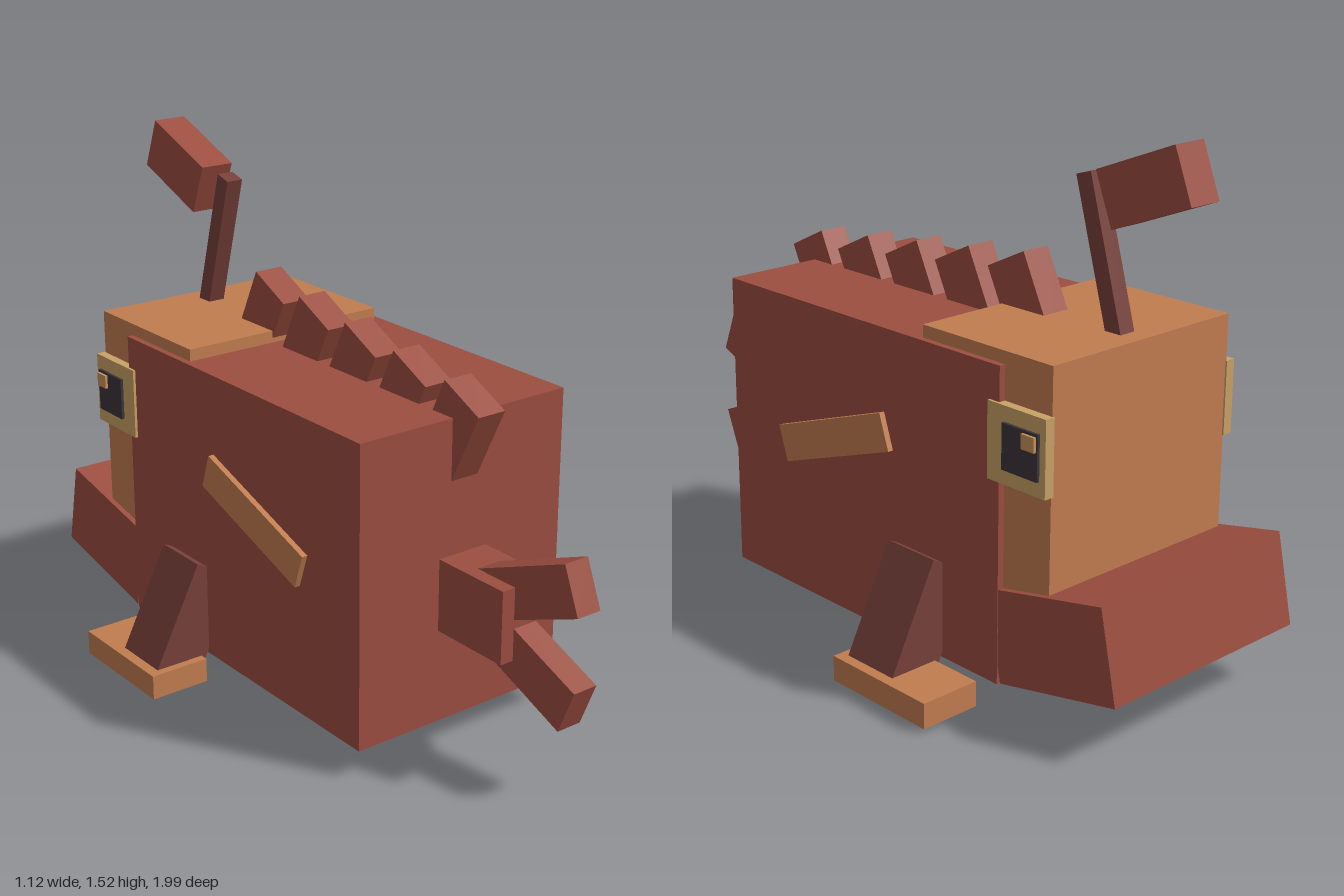
import * as THREE from 'three';

const mat = (name, color) => {
  const m = new THREE.MeshStandardMaterial({ color });
  m.name = name;
  return m;
};

export function createModel() {
  const red = mat('brick red', 0x9c4e40);
  const orange = mat('copper orange', 0xc27d50);
  const dark = mat('dark maroon', 0x77403a);
  const tan = mat('eye tan', 0xc9a266);
  const black = mat('pupil charcoal', 0x3a343a);
  const glint = mat('eye glint', 0xc8935a);

  const model = new THREE.Group();
  model.name = 'blockFish';
  const rad = THREE.MathUtils.degToRad;

  // Box given by size and centre, tilted in degrees about x and z
  const box = (name, material, size, pos, tiltX = 0, tiltZ = 0) => {
    const mesh = new THREE.Mesh(new THREE.BoxGeometry(...size), material);
    mesh.name = name;
    mesh.position.set(...pos);
    mesh.rotation.set(rad(tiltX), 0, rad(tiltZ));
    model.add(mesh);
    return mesh;
  };

  // Body, head and jutting jaw (the fish swims toward -z)
  box('body', red, [0.698, 0.875, 1.105], [0, 0.5275, -0.0325]);
  box('head', orange, [0.66, 0.7, 0.47], [0, 0.65, -0.515]);
  box('jaw', red, [0.694, 0.26, 0.41], [0, 0.265, -0.769], 12);

  // Row of back spines, rising toward the head
  const spineTilt = 26;
  const spineHeight = 0.3;
  for (let i = 0; i < 5; i++) {
    const topY = 1.027 + i * 0.025;
    const topZ = 0.5525 - i * 0.211;
    const a = rad(spineTilt);
    box('backSpine', red, [0.09, spineHeight, 0.15],
      [0, topY - Math.cos(a) * spineHeight / 2, topZ - Math.sin(a) * spineHeight / 2], spineTilt);
  }

  // Tail stem and forked fins
  box('tailStem', red, [0.162, 0.21, 0.27], [0, 0.47, 0.635]);
  for (const s of [1, -1]) {
    const a = rad(22);
    box('tailFin', red, [0.078, 0.14, 0.4],
      [0, 0.47 + s * (0.17 - 0.2 * Math.sin(a)), 0.972 - 0.2 * Math.cos(a)], -22 * s);
  }

  // Lure on its stalk
  box('lureStalk', dark, [0.052, 0.46, 0.052], [0, 1.177, -0.613], 16);
  box('lure', red, [0.104, 0.156, 0.273], [0, 1.398, -0.771], 21.5);

  // Mirrored side parts
  for (const s of [1, -1]) {
    box('sideFin', orange, [0.034, 0.107, 0.465], [s * 0.349, 0.604, 0.0575], 19);

    // Eye in stacked layers
    box('eye', tan, [0.03, 0.21, 0.205], [s * 0.342, 0.765, -0.6525]);
    box('pupil', black, [0.009, 0.125, 0.125], [s * 0.361, 0.765, -0.6725]);
    box('eyeGlint', glint, [0.009, 0.04, 0.045], [s * 0.369, 0.8, -0.7075]);

    // Splayed leg and flat foot
    box('leg', dark, [0.152, 0.347, 0.18], [s * 0.39, 0.194, -0.285], 0, s * 26.6);
    box('foot', orange, [0.183, 0.073, 0.365], [s * 0.4675, 0.0525, -0.3525]);
  }

  return model;
}
